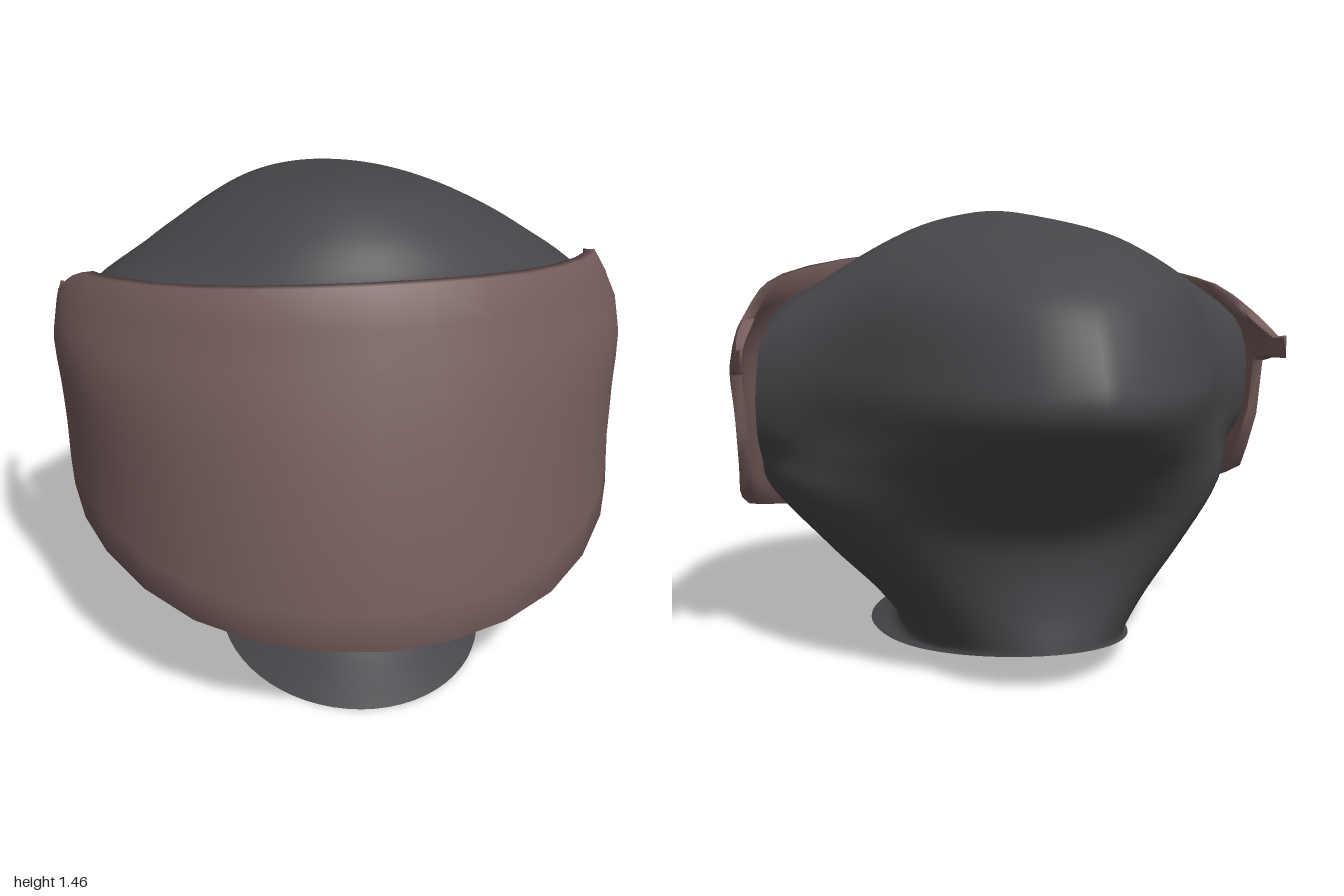
import * as THREE from 'three';
import { mergeVertices } from 'three/addons/utils/BufferGeometryUtils.js';

// Joins closed loops of [x, y, z] points into a smooth skin, optionally capped;
// isOpen(i, j) leaves out single faces
function loft(loops, { caps = false, isOpen = () => false }) {
  const n = loops[0].length, last = (loops.length - 1) * n, index = [];
  for (let i = 0; i < loops.length - 1; i++) {
    for (let j = 0; j < n; j++) {
      if (isOpen(i, j)) continue;
      const a = i * n + j, b = i * n + (j + 1) % n;
      index.push(a, b, b + n, a, b + n, a + n);
    }
  }
  if (caps) {
    for (let j = 1; j < n - 1; j++) index.push(0, j + 1, j, last, last + j, last + j + 1);
  }
  let g = new THREE.BufferGeometry();
  g.setAttribute('position', new THREE.Float32BufferAttribute(loops.flat(2), 3));
  g.setIndex(index);
  g = mergeVertices(g, 1e-5);
  g.computeVertexNormals();
  return g;
}

// Piecewise linear lookup in [key, value] pairs with rising keys
function lookup(table, x) {
  let i = 1;
  while (i < table.length - 1 && x > table[i][0]) i++;
  const [x0, y0] = table[i - 1], [x1, y1] = table[i];
  return y0 + (y1 - y0) * THREE.MathUtils.clamp((x - x0) / (x1 - x0), 0, 1);
}

// Hood rings from collar to crown:
// front y, back y, front z, back z, z of widest point, half width, pointedness, sag at the sides
const RINGS = [
  [0, 0.12, 0.83, -0.56, 0.25, 0.43, 0, 0.04],
  [0.12, 0.15, 0.61, -0.555, 0.05, 0.365, -0.1, 0.06],
  [0.2, 0.25, 0.61, -0.54, 0.05, 0.45, -0.15, 0.02],
  [0.28, 0.38, 0.68, -0.545, 0.1, 0.6, -0.1, -0.02],
  [0.36, 0.5, 0.83, -0.59, 0.1, 0.785, 0.2, -0.12],
  [0.55, 0.66, 0.84, -0.74, 0.06, 0.82, 0.55, -0.06],
  [0.75, 0.79, 0.8, -0.9, -0.01, 0.84, 0.9, 0],
  [0.95, 0.9, 0.74, -0.995, -0.04, 0.84, 1, 0],
  [1.22, 1.01, 0.66, -0.98, -0.035, 0.8, 1, 0.045],
  [1.26, 1.18, 0.57, -0.875, -0.03, 0.62, 0.6, 0],
  [1.36, 1.27, 0.47, -0.75, -0.05, 0.46, 0.4, 0],
  [1.43, 1.33, 0.36, -0.6, -0.05, 0.31, 0.25, 0],
  [1.457, 1.39, 0.25, -0.3, 0, 0.14, 0.1, 0],
  [1.452, 1.452, 0.06, 0.04, 0.05, 0, 0, 0],
];
const STEPS = 5, COLS = 64;
const SILL = 4, BROW = 8; // rings below and above the face opening

// Pointed back half of the hood's section, side to back
const BACK = new THREE.SplineCurve([
  [1, 0], [0.84, 0.13], [0.71, 0.31], [0.57, 0.55], [0.39, 0.78], [0.19, 0.94], [0, 1],
].map(([x, z]) => new THREE.Vector2(x, z)));

function hoodLoops() {
  const tracks = RINGS[0].map((_, k) =>
    new THREE.SplineCurve(RINGS.map((r, i) => new THREE.Vector2(i, r[k]))));
  const rows = (RINGS.length - 1) * STEPS, loops = [];
  for (let i = 0; i <= rows; i++) {
    const [yf, yb, zf, zb, zc, w, k, sag] = tracks.map((t) => t.getPoint(i / rows).y);
    const loop = [];
    for (let j = 0; j < COLS; j++) {
      const side = j <= COLS / 2 ? 1 : -1;
      const a = Math.min(j, COLS - j) / COLS * 2 * Math.PI;
      let x = Math.sin(a), z;
      if (a <= Math.PI / 2) {
        z = zc + (zf - zc) * Math.cos(a);
      } else {
        const p = BACK.getPoint(Math.min(1, a / (Math.PI / 2) - 1));
        x += (p.x - x) * k;
        const back = -Math.cos(a);
        z = zc + (zb - zc) * (back + (p.y - back) * k);
      }
      const t = THREE.MathUtils.clamp((zf - z) / (zf - zb), 0, 1);
      loop.push([side * w * x, yf + (yb - yf) * t - sag * Math.sin(Math.PI * t), z]);
    }
    loops.push(loop);
  }
  return loops;
}

// Face opening: the whole front half between sill and brow
const inFaceOpening = (i, j) =>
  i >= SILL * STEPS && i < BROW * STEPS && (j < COLS / 4 || j >= COLS * 3 / 4);

// Visor outline by cosine of the angle from the front, and its section by height
const TOP = [[0, 1.12], [0.1, 1.165], [0.2, 1.2], [0.5, 1.245], [0.8, 1.285], [1, 1.315]];
const BOTTOM = [[0, 0.75], [0.06, 0.62], [0.1, 0.55], [0.31, 0.46], [0.63, 0.39], [0.82, 0.35], [1, 0.325]];
const FRONT = [[0.325, 1], [0.5, 0.972], [0.72, 0.92], [0.95, 0.853], [1.12, 0.793], [1.315, 0.72]];
const WIDTH = [[0.33, 0.905], [0.6, 0.895], [0.8, 0.905], [0.95, 0.92], [1.07, 0.9], [1.13, 0.865], [1.2, 0.825], [1.315, 0.81]];
const THICK = 0.035;

function visorLoops() {
  const rows = 9;
  // One closed loop: up the outside, then down the inside
  const column = (y0, y1, thick, place) => {
    const outer = [], inner = [];
    for (let r = 0; r <= rows; r++) {
      const y = y0 + (y1 - y0) * r / rows;
      const [x, z, nx, nz] = place(y);
      outer.push([x, y, z]);
      inner.unshift([x - nx * thick, y, z - nz * thick]);
    }
    return [...outer, ...inner];
  };
  // Tapering strap tabs at the sides: z, bottom, top, x, thickness
  const half = [
    [-0.22, 0.97, 1.045, 0.9, 0.01], [-0.15, 0.965, 1.035, 0.91, 0.02], [-0.1, 0.962, 1.06, 0.915, 0.028],
    [-0.05, 0.95, 1.09, 0.918, THICK], [-0.006, 0.94, 1.118, 0.918, THICK],
  ].map(([z, y0, y1, x, thick]) =>
    column(y0, y1, thick, (y) => [Math.min(x, lookup(WIDTH, y)), z, 1, 0]));
  // Curved shield
  for (const deg of [90, 87, 84, 78, 70, 60, 48, 36, 24, 12, 0]) {
    const a = deg * Math.PI / 180, s = Math.sin(a), c = Math.cos(a);
    half.push(column(lookup(BOTTOM, c), lookup(TOP, c), THICK,
      (y) => [lookup(WIDTH, y) * s, lookup(FRONT, y) * c, s, c]));
  }
  const mirrored = half.slice(0, -1).reverse().map((l) => l.map(([x, y, z]) => [-x, y, z]));
  return [...half, ...mirrored];
}

export function createModel() {
  const charcoal = new THREE.MeshStandardMaterial({ color: 0x47464a, side: THREE.DoubleSide });
  charcoal.name = 'charcoal';
  const brown = new THREE.MeshStandardMaterial({ color: 0x745c5a, side: THREE.DoubleSide });
  brown.name = 'dusty brown';

  const model = new THREE.Group();
  model.name = 'visoredHelmet';
  const add = (name, geometry, material) => {
    const mesh = new THREE.Mesh(geometry, material);
    mesh.name = name;
    model.add(mesh);
  };

  // Hollow hood with flared collar, open at the face and neck
  add('hood', loft(hoodLoops(), { isOpen: inFaceOpening }), charcoal);

  // Wraparound visor with strap tabs
  add('visor', loft(visorLoops(), { caps: true }), brown);
  return model;
}
